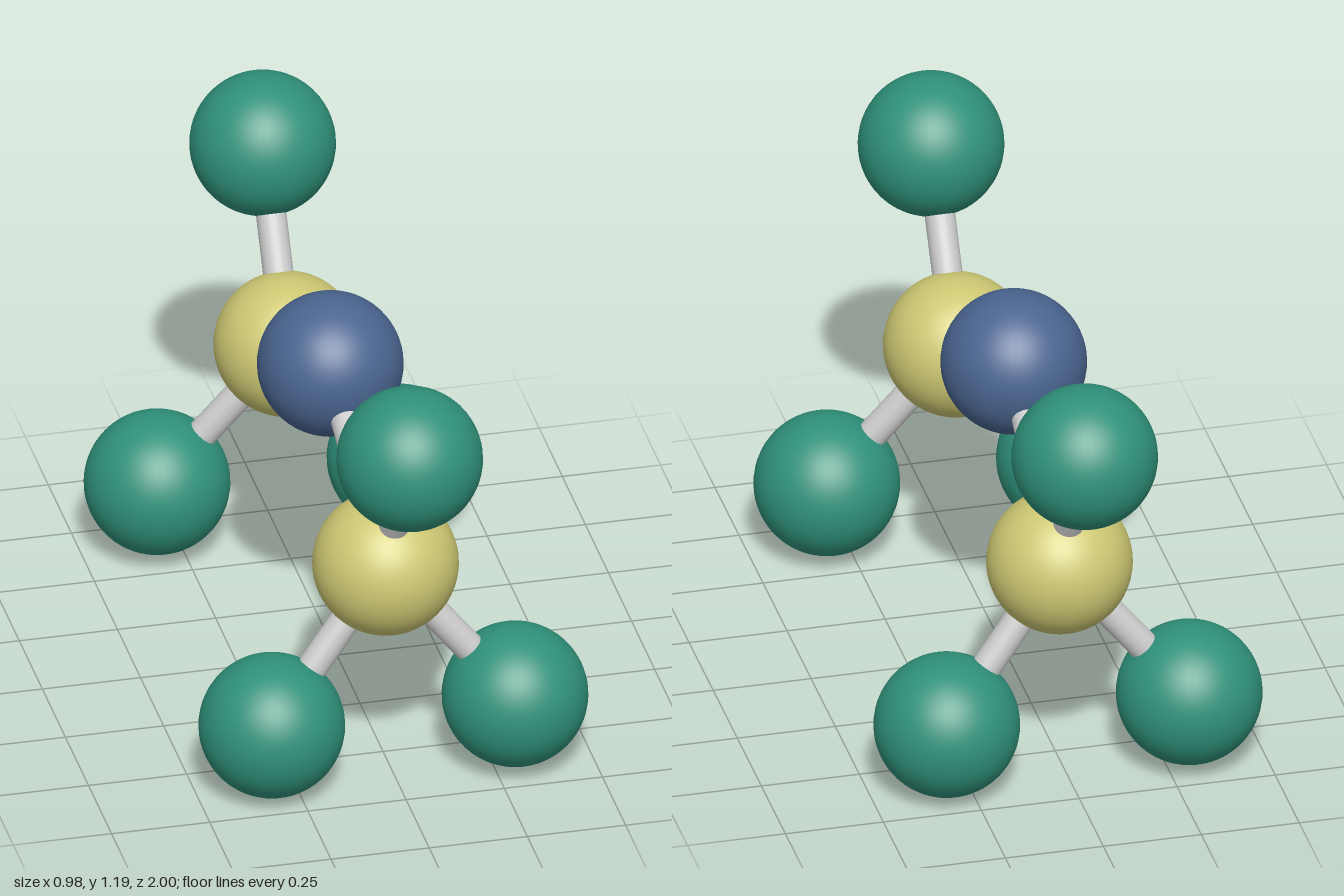
import * as THREE from 'three';

const BALL_RADIUS = 0.182;
const ROD_RADIUS = 0.038;

export function createModel() {
  const model = new THREE.Group();
  const blue = new THREE.MeshStandardMaterial({ color: 0x4a6590 });
  const yellow = new THREE.MeshStandardMaterial({ color: 0xcdc873 });
  const green = new THREE.MeshStandardMaterial({ color: 0x2f917a });
  const grey = new THREE.MeshStandardMaterial({ color: 0xcccccc });
  const ballGeometry = new THREE.SphereGeometry(BALL_RADIUS, 48, 32);
  const up = new THREE.Vector3(0, 1, 0);

  // One atom ball; returns its centre
  function addBall(name, material, x, y, z) {
    const ball = new THREE.Mesh(ballGeometry, material);
    ball.name = name;
    ball.position.set(x, y, z);
    model.add(ball);
    return ball.position;
  }

  // Bond rod from one ball centre to another
  function addRod(name, a, b) {
    const direction = b.clone().sub(a);
    const rod = new THREE.Mesh(
      new THREE.CylinderGeometry(ROD_RADIUS, ROD_RADIUS, direction.length(), 24), grey);
    rod.name = name;
    rod.position.copy(a).lerp(b, 0.5);
    rod.quaternion.setFromUnitVectors(up, direction.normalize());
    model.add(rod);
  }

  // Central ball bridging the two arms
  const centre = addBall('centreBall', blue, -0.017, 0.838, 0);

  // Each arm: a yellow hub with three green outer balls, slightly twisted
  for (const [side, s] of [['front', 1], ['back', -1]]) {
    const hub = addBall(side + 'Hub', yellow, -0.002 - 0.007 * s, 0.581, 0.565 * s);
    addRod(side + 'BridgeRod', centre, hub);
    const outer = {
      Top: [-0.002 - 0.005 * s, 1.014, 0.818 * s],
      LowerLeft: [0.307, 0.193 + 0.005 * s, 0.623 * s],
      LowerRight: [-0.312, 0.193 - 0.005 * s, 0.622 * s],
    };
    for (const [place, position] of Object.entries(outer)) {
      const ball = addBall(side + place + 'Ball', green, ...position);
      addRod(side + place + 'Rod', hub, ball);
    }
  }
  return model;
}
